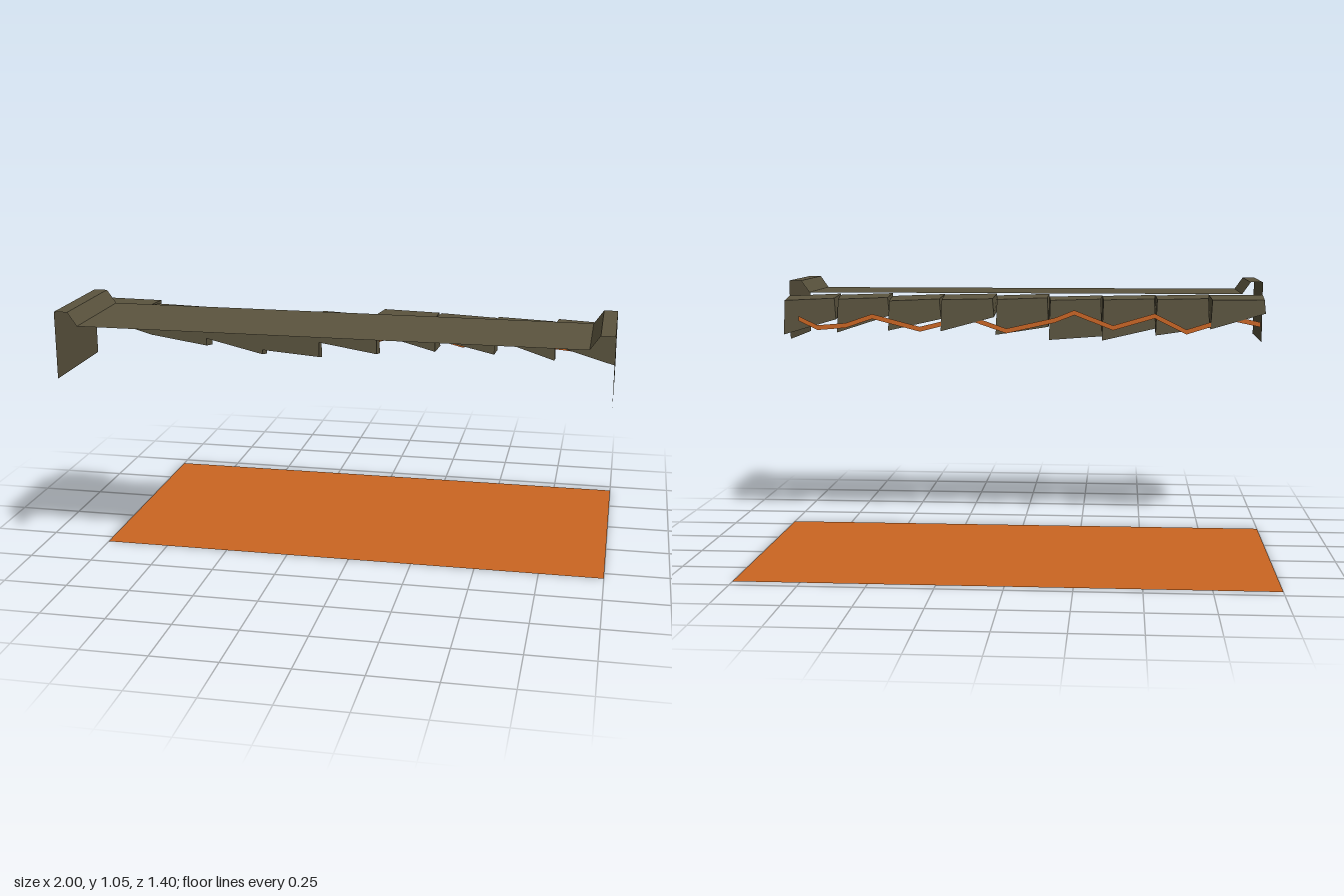
import * as THREE from 'three';

const rockColor = new THREE.MeshStandardMaterial({ color: 0x5c553f, side: THREE.DoubleSide });
rockColor.name = 'brown rock';
const lavaColor = new THREE.MeshStandardMaterial({ color: 0xcc6622, side: THREE.DoubleSide });
lavaColor.name = 'orange lava';

function addMesh(group, name, geometry, material) {
  const flat = geometry.toNonIndexed();
  flat.computeVertexNormals();
  const mesh = new THREE.Mesh(flat, material);
  mesh.name = name;
  group.add(mesh);
}

// Open sheet with a folded cross-section, running along z
function ledgeGeometry() {
  const half = [[-1, 0.8], [-1, 1.05], [-0.95, 1.05], [-0.915, 1]];
  const profile = [...half, ...half.map(([x, y]) => [-x, y]).reverse()];
  const n = profile.length;
  const g = new THREE.PlaneGeometry(2, 0.4, n - 1, 1);
  for (let i = 0; i < 2 * n; i++) {
    const [x, y] = profile[i % n];
    g.attributes.position.setXYZ(i, x, y, i < n ? 0.3 : 0.7);
  }
  return g;
}

// Box with a slanted bottom, a sloping top and a slightly tapered back
function rockGeometry(x0, x1, { back, left, right, topL, topR }) {
  const g = new THREE.BoxGeometry(1, 1, 1);
  const p = g.attributes.position;
  for (let i = 0; i < p.count; i++) {
    const isRight = p.getX(i) > 0, isTop = p.getY(i) > 0, isFront = p.getZ(i) > 0;
    const inset = !isFront && isTop ? 0.006 : 0;
    const x = isRight ? x1 - inset : x0 + inset;
    const y = isTop
      ? (isRight ? topR : topL) - (isFront ? 0 : 0.012)
      : (isRight ? right : left) + (isFront ? 0.015 : 0);
    p.setXYZ(i, x, y, isFront ? 0.3 : back);
  }
  return g;
}

// Flat zigzag ribbon facing z
function ribbonGeometry(points, height, z) {
  const n = points.length;
  const g = new THREE.PlaneGeometry(1, 1, n - 1, 1);
  for (let i = 0; i < 2 * n; i++) {
    const [x, y] = points[i % n];
    g.attributes.position.setXYZ(i, x, y + (i < n ? height / 2 : -height / 2), z);
  }
  return g;
}

export function createModel() {
  const model = new THREE.Group();
  model.name = 'lavaLedge';

  // Lava pool on the ground
  const pool = new THREE.PlaneGeometry(2, 1).rotateX(-Math.PI / 2).translate(0, 0, -0.2);
  addMesh(model, 'lavaPool', pool, lavaColor);

  // Walkway with raised curbs and outer walls
  addMesh(model, 'ledge', ledgeGeometry(), rockColor);

  // Row of broken rocks: back z, bottom left, bottom right, top left, top right
  const rocks = [
    [0.15, 0.93, 0.865, 0.998, 0.996],
    [0.22, 0.865, 0.832, 0.998, 0.993],
    [0.23, 0.86, 0.808, 0.995, 0.99],
    [0.245, 0.825, 0.808, 0.992, 0.986],
    [0.225, 0.865, 0.83, 0.998, 0.99],
    [0.15, 0.91, 0.85, 0.998, 0.993],
    [0.165, 0.9, 0.85, 0.995, 0.986],
    [0.2, 0.91, 0.838, 0.998, 0.99],
    [0.18, 0.895, 0.83, 0.995, 0.985],
  ];
  const row = new THREE.Group();
  row.name = 'rockRow';
  const width = 2 / rocks.length;
  rocks.forEach(([back, left, right, topL, topR], i) => {
    const x0 = -1 + i * width;
    const shape = { back, left, right, topL, topR };
    addMesh(row, `rock${i + 1}`, rockGeometry(x0, x0 + width, shape), rockColor);
  });
  model.add(row);

  // Glowing vein behind the rocks
  const vein = [
    [-0.98, 0.885], [-0.86, 0.91], [-0.68, 0.853], [-0.55, 0.918], [-0.38, 0.868],
    [-0.22, 0.93], [-0.14, 0.898], [0.06, 0.853], [0.22, 0.908], [0.42, 0.858],
    [0.62, 0.91], [0.73, 0.872], [0.85, 0.862], [0.93, 0.9],
  ];
  addMesh(model, 'lavaVein', ribbonGeometry(vein, 0.02, 0.15), lavaColor);

  return model;
}
